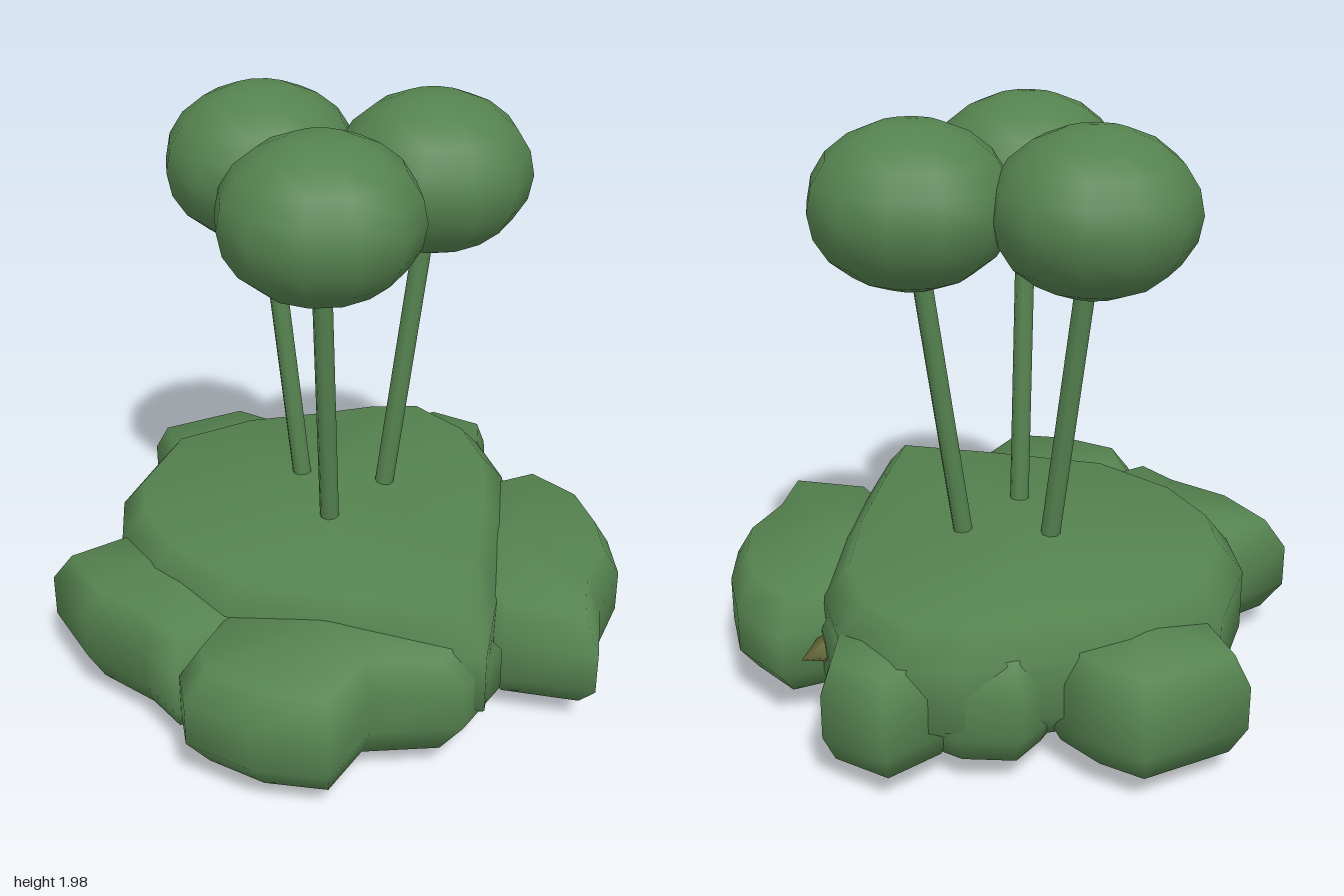
import * as THREE from 'three';
import { mergeVertices } from 'three/addons/utils/BufferGeometryUtils.js';

const green = new THREE.MeshStandardMaterial({ color: 0x55824f });
const olive = new THREE.MeshStandardMaterial({ color: 0x6f7340, side: THREE.DoubleSide });

// Closed cushion: a plan outline [x, z] stacked as rings [scale about centre, y]
function cushion(outline, [cx, cz], rings) {
  const pos = [], index = [], n = outline.length;
  for (const [s, y] of rings)
    for (const [x, z] of outline) pos.push(cx + (x - cx) * s, y, cz + (z - cz) * s);
  for (let r = 0; r < rings.length - 1; r++)
    for (let i = 0; i < n; i++) {
      const a = r * n + i, b = r * n + (i + 1) % n, c = a + n, d = b + n;
      index.push(a, c, b, b, c, d);
    }
  let geo = new THREE.BufferGeometry();
  geo.setAttribute('position', new THREE.Float32BufferAttribute(pos, 3));
  geo.setIndex(index);
  geo = mergeVertices(geo);
  geo.computeVertexNormals();
  return geo;
}

const lobeRings = [[0, 0.08], [0.84, 0.12], [1, 0.22], [1, 0.37], [0.84, 0.47], [0, 0.5]];
const moundRings = [[0, 0.09], [0.84, 0.13], [1, 0.25], [1, 0.46], [0.88, 0.565], [0, 0.61]];

const mound = [[0.57, -0.1], [0.57, 0.25], [0.56, 0.64], [0.15, 0.62], [-0.3, 0.58], [-0.6, 0.38],
  [-0.76, 0.15], [-0.82, -0.08], [-0.76, -0.44], [-0.5, -0.65], [-0.22, -0.76], [0, -0.86],
  [0.2, -0.9], [0.42, -0.72], [0.53, -0.48]];

// Outer lobes, outlines running from +x towards +z
const lobes = {
  rightSideLobe: { centre: [0.6, -0.03], outline: [[0.97, -0.04], [0.91, 0.2], [0.91, 0.45], [0.6, 0.43],
    [0.48, 0.28], [0.3, 0.1], [0.28, -0.2], [0.42, -0.45], [0.65, -0.6], [0.84, -0.45], [0.93, -0.24]] },
  frontLobe: { centre: [0.03, 0.6], outline: [[0.6, 0.47], [0.5, 0.7], [0.21, 0.77], [0.12, 1], [-0.12, 1],
    [-0.35, 0.91], [-0.4, 0.77], [-0.33, 0.5], [-0.15, 0.3], [0.15, 0.22], [0.45, 0.3]] },
  frontLeftLobe: { centre: [-0.5, 0.33], outline: [[-0.12, 0.35], [-0.2, 0.6], [-0.41, 0.78], [-0.55, 0.65],
    [-0.79, 0.52], [-0.97, 0.3], [-0.77, 0.11], [-0.55, 0], [-0.25, 0.1]] },
  backLeftLobe: { centre: [-0.52, -0.55], outline: [[-0.23, -0.48], [-0.3, -0.25], [-0.55, -0.22], [-0.74, -0.42],
    [-0.86, -0.66], [-0.56, -0.88], [-0.39, -0.81], [-0.23, -0.68]] },
  backLobe: { centre: [-0.02, -0.55], outline: [[0.25, -0.55], [0.1, -0.28], [-0.18, -0.3], [-0.3, -0.55],
    [-0.25, -0.7], [-0.18, -0.84], [0.02, -0.86], [0.16, -0.8]] },
  backRightLobe: { centre: [0.26, -0.65], outline: [[0.53, -0.52], [0.45, -0.3], [0.2, -0.3], [0.03, -0.5],
    [0.05, -0.82], [0.21, -1], [0.43, -0.91], [0.45, -0.72]] }
};

// Tapered cupped leaf pointing along +x
function leafGeometry() {
  const outline = [[0.22, 0], [0.1, 0.08], [-0.06, 0.07], [-0.2, 0], [-0.06, -0.07], [0.1, -0.08]];
  return cushion(outline, [0, 0], [[0, -0.045], [0.6, -0.03], [1, 0.01], [0.6, 0.03], [0, 0.04]]);
}

export function createModel() {
  const model = new THREE.Group();
  const add = (name, geo, material = green) => {
    const mesh = new THREE.Mesh(geo, material);
    mesh.name = name;
    model.add(mesh);
    return mesh;
  };

  add('centralMound', cushion(mound, [-0.1, -0.1], moundRings));
  for (const [name, { outline, centre }] of Object.entries(lobes)) add(name, cushion(outline, centre, lobeRings));

  // Flower heads and the leaning stems under them
  const heads = [[-0.31, -0.25, -0.11, -0.13], [0.26, -0.25, 0.06, -0.13], [-0.03, 0.24, -0.03, 0.03]];
  for (const [x, z, footX, footZ] of heads) {
    const head = add('flowerHead', new THREE.SphereGeometry(0.33, 12, 10));
    head.scale.y = 0.265 / 0.33;
    head.position.set(x, 1.735, z);
    const foot = new THREE.Vector3(footX, 0.07, footZ), tip = new THREE.Vector3(x, 1.7, z);
    const axis = tip.clone().sub(foot);
    const stem = add('stem', new THREE.CylinderGeometry(0.033, 0.033, axis.length(), 8));
    stem.position.copy(foot).add(tip).multiplyScalar(0.5);
    stem.quaternion.setFromUnitVectors(new THREE.Vector3(0, 1, 0), axis.normalize());
  }

  // Dry leaves fanned out beneath the mound: angle, distance, height
  const leaves = [[0.85, 0.34, 0.06], [2.3, 0.35, 0.06], [0.1, 0.33, 0.085], [1.55, 0.33, 0.09],
    [3.1, 0.36, 0.085], [3.9, 0.34, 0.09], [4.7, 0.34, 0.09], [5.5, 0.36, 0.085]];
  for (const [angle, distance, y] of leaves) {
    const leaf = add('dryLeaf', leafGeometry(), olive);
    leaf.position.set(Math.cos(angle) * distance, y, Math.sin(angle) * distance);
    leaf.rotation.set(0, -angle, 0.1);
  }
  // Leaf tip showing between the back lobes
  const tip = add('dryLeaf', leafGeometry(), olive);
  tip.position.set(0.42, 0.33, -0.5);
  tip.rotation.y = 0.9;
  return model;
}
